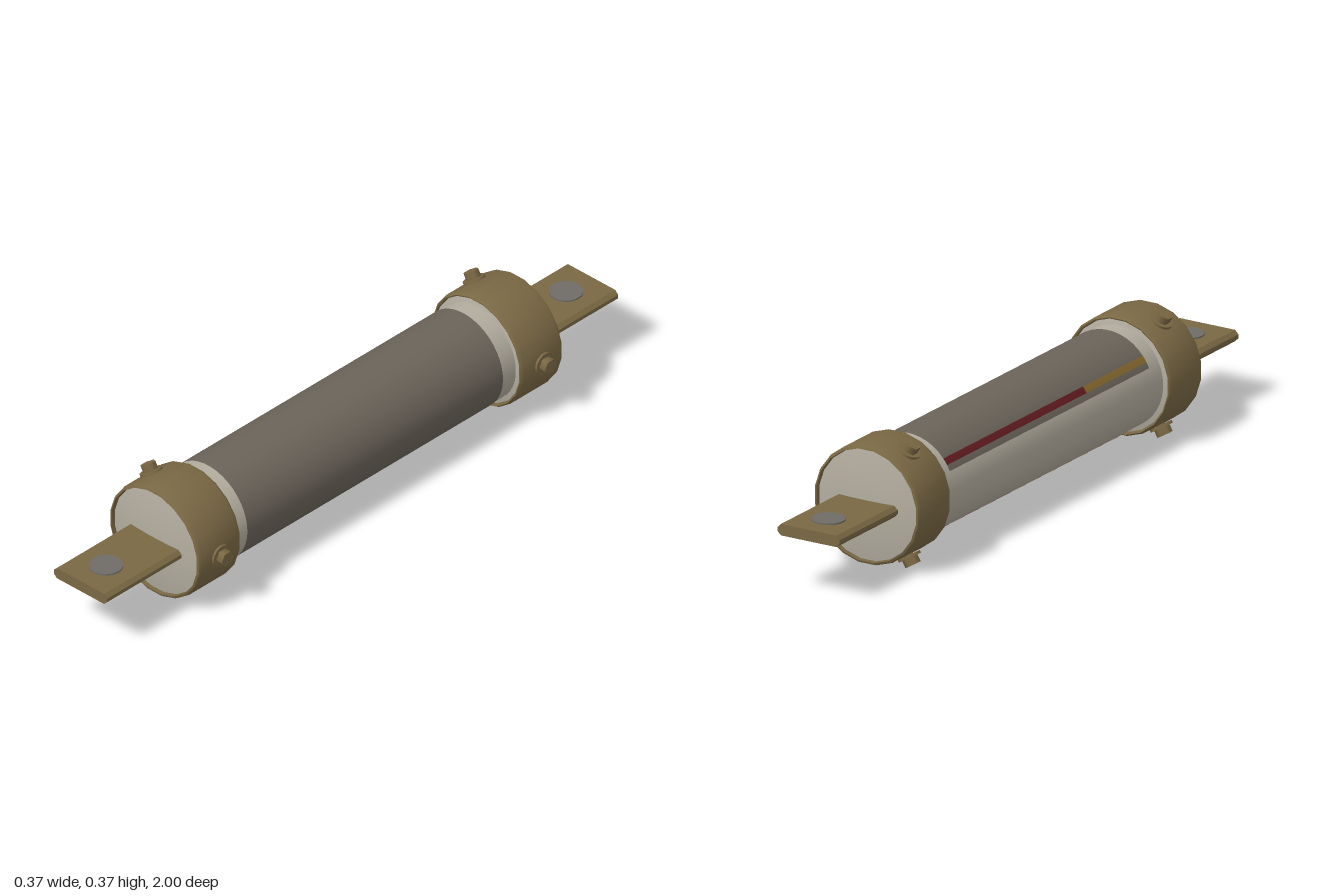
import * as THREE from 'three';
import { toCreasedNormals } from 'three/addons/utils/BufferGeometryUtils.js';

const material = (name, color, side = THREE.FrontSide) => {
  const m = new THREE.MeshStandardMaterial({ color, side });
  m.name = name;
  return m;
};
const rad = THREE.MathUtils.degToRad;

export function createModel() {
  const brass = material('aged brass', 0x7a6844);
  const ivory = material('ivory ceramic', 0xb3ad9f, THREE.DoubleSide);
  const grey = material('warm grey wrap', 0x6b645a, THREE.DoubleSide);
  const red = material('dark red', 0x641c20, THREE.DoubleSide);
  const yellow = material('ochre', 0x86692e, THREE.DoubleSide);
  const steel = material('dull steel', 0x6f6c67);

  const model = new THREE.Group();
  model.name = 'cartridgeFuse';
  const body = new THREE.Group();
  body.name = 'fuseBody';
  body.position.set(-0.015, 0.187, 0);
  model.add(body);

  const add = (parent, name, geometry, mat) => {
    const mesh = new THREE.Mesh(geometry, mat);
    mesh.name = name;
    parent.add(mesh);
    return mesh;
  };
  // Turned part along z from [radius, z] pairs
  const turned = (pts, sides = 20) => toCreasedNormals(
    new THREE.LatheGeometry(pts.map(p => new THREE.Vector2(...p)), sides, Math.PI / sides)
      .rotateX(Math.PI / 2), rad(35));
  // Curved sheet around the tube between two angles (degrees) and two z values
  const sheet = (name, from, to, z0, z1, mat, r = 0.147) => {
    const segs = Math.max(2, Math.ceil((to - from) / 9));
    const g = new THREE.CylinderGeometry(r, r, z1 - z0, segs, 1, true, rad(from + 90), rad(to - from));
    g.rotateX(Math.PI / 2).translate(0, 0, (z0 + z1) / 2);
    return add(body, name, g, mat);
  };

  // Ceramic tube and wrap, with an exposed ceramic strip on the right side
  add(body, 'ceramicTube', turned([[0.145, -0.69], [0.145, 0.69]], 40), ivory);
  sheet('wrap', -118, 140, -0.5, 0.5, grey);
  sheet('wrapEdge', 148, 155, -0.5, 0.5, grey);
  sheet('upperRedStripe', 140, 148, -0.5, 0.2, red);
  sheet('upperYellowStripe', 140, 148, 0.2, 0.5, yellow);
  sheet('lowerRedStripe', 234, 242, -0.5, -0.13, red);
  sheet('lowerYellowStripe', 234, 242, -0.13, 0.5, yellow);

  // Contact blade outline with chamfered long edges, extruded along z
  const blade = new THREE.Shape();
  const w = 0.1, h = 0.0165, c = 0.011;
  [[-w + c, -h], [w - c, -h], [w, -h + c], [w, h - c], [w - c, h], [-w + c, h], [-w, h - c], [-w, -h + c]]
    .forEach(([x, y], i) => (i ? blade.lineTo(x, y) : blade.moveTo(x, y)));

  const ferrule = turned([[0.162, 0.712], [0.162, 0.55], [0.166, 0.548], [0.171, 0.556],
    [0.171, 0.7], [0.168, 0.709], [0.162, 0.712]]);
  const endDisc = turned([[0.145, 0.552], [0.16, 0.556], [0.16, 0.7], [0.12, 0.707], [0.06, 0.712], [0, 0.714]]);

  for (const end of [1, -1]) {
    const cap = new THREE.Group();
    cap.name = end > 0 ? 'frontCap' : 'backCap';
    if (end < 0) cap.rotation.x = Math.PI;
    body.add(cap);
    add(cap, 'ferrule', ferrule, brass);
    add(cap, 'endDisc', endDisc, ivory);
    add(cap, 'contactBlade',
      new THREE.ExtrudeGeometry(blade, { depth: 0.3, bevelEnabled: false }).translate(0, 0, 0.7), brass);
    add(cap, 'boltHolePlug',
      new THREE.CylinderGeometry(0.047, 0.047, 0.042, 20).translate(0, 0, 0.9), steel);

    // Three radial screws around each ferrule
    for (let i = 0; i < 3; i++) {
      const screw = new THREE.Group();
      screw.name = 'screw' + (i + 1);
      screw.rotation.z = i * Math.PI * 2 / 3;
      cap.add(screw);
      const disc = (name, r, r0, r1, sides) => add(screw, name,
        new THREE.CylinderGeometry(r, r, r1 - r0, sides).rotateZ(-Math.PI / 2)
          .translate((r0 + r1) / 2, 0, 0.632), brass);
      disc('screwShank', 0.014, 0.15, 0.175, 8);
      disc('screwWasher', 0.033, 0.172, 0.179, 14);
      disc('screwHead', 0.023, 0.178, 0.2, 6);
    }
  }
  return model;
}
